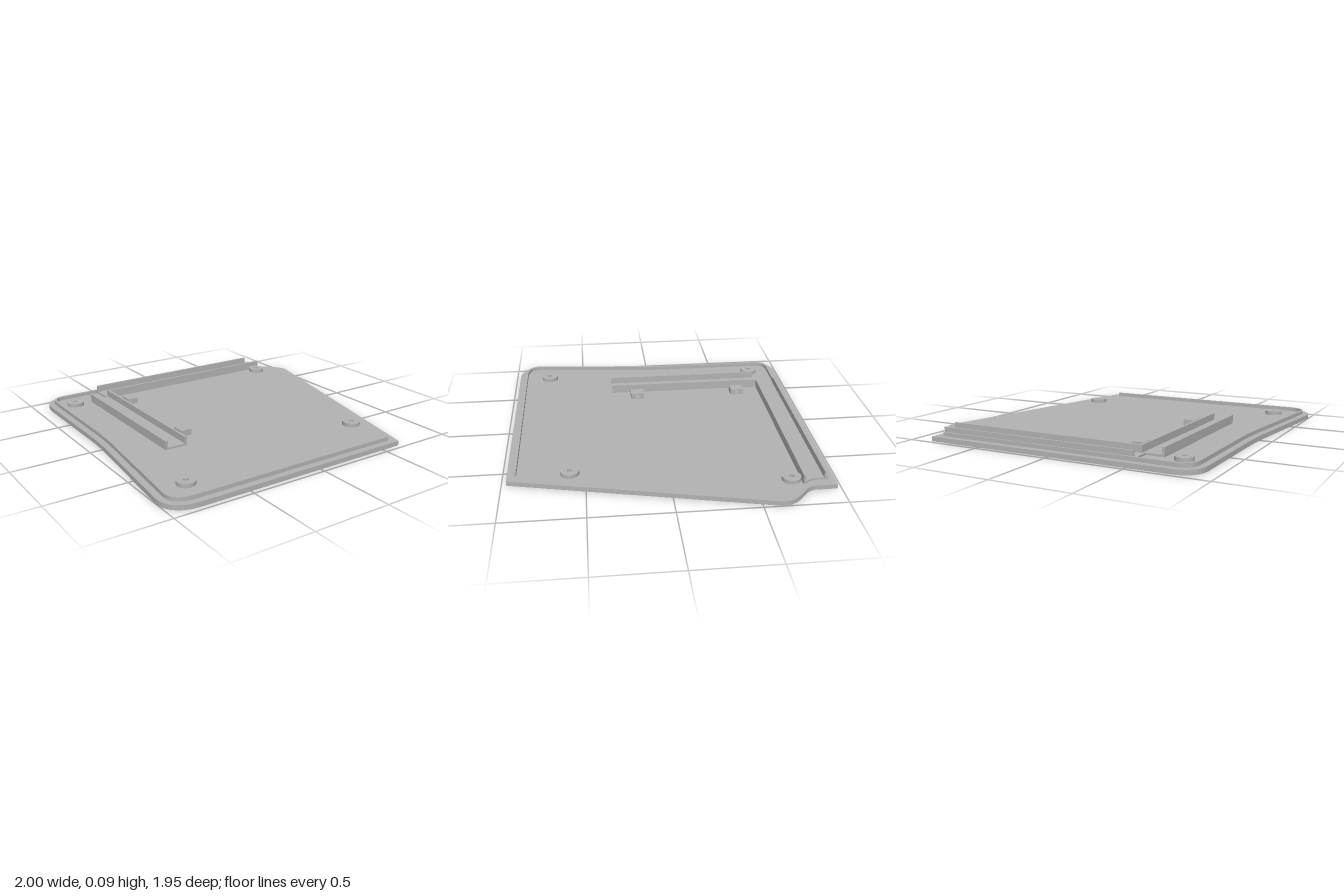
import * as THREE from 'three';

const BASE_H = 0.03, RIM_H = 0.055, FLOOR_H = 0.043, WALL_H = 0.087;

export function createModel() {
  const group = new THREE.Group();
  const grey = new THREE.MeshStandardMaterial({ color: 0xb2b2b2 });
  grey.name = 'plainGrey';

  const add = (name, geometry) => {
    const mesh = new THREE.Mesh(geometry, grey);
    mesh.name = name;
    group.add(mesh);
    return mesh;
  };

  // Extrudes a plan shape, drawn in (x, -z), from height y0 to y1
  const slab = (name, shape, y0, y1) => {
    const g = new THREE.ExtrudeGeometry(shape, { depth: y1 - y0, bevelEnabled: false, curveSegments: 20 });
    g.rotateX(-Math.PI / 2);
    g.translate(0, y0, 0);
    return add(name, g);
  };

  // Box given by its limits
  const block = (name, x0, x1, y0, y1, z0, z1) => {
    const g = new THREE.BoxGeometry(x1 - x0, y1 - y0, z1 - z0);
    g.translate((x0 + x1) / 2, (y0 + y1) / 2, (z0 + z1) / 2);
    return add(name, g);
  };

  const circle = (x, z, r, Type = THREE.Path) => {
    const p = new Type();
    p.absarc(x, -z, r, 0, Math.PI * 2);
    return p;
  };

  // Back, curved side and front edges of the outline, moved inwards by d
  const traceEdge = (path, d, backX, frontX) => {
    path.moveTo(backX, 0.975 - d);
    path.lineTo(-0.76, 0.975 - d);
    path.bezierCurveTo(-0.86 + d * 0.4, 0.975 - d, -0.915 + d, 0.92 - d * 0.4, -0.915 + d, 0.82);
    path.lineTo(-0.915 + d, 0.2);
    path.bezierCurveTo(-0.915 + d, 0.02, -0.926 + d, -0.06, -0.938 + d, -0.18);
    path.lineTo(-0.998 + d, -0.8);
    path.bezierCurveTo(-1.008 + d, -0.9 + d * 0.4, -0.94 + d * 0.4, -0.97 + d, -0.82, -0.97 + d);
    path.lineTo(frontX, -0.97 + d);
    return path;
  };

  const screws = [[-0.754, -0.773], [0.776, -0.714], [0.583, 0.594], [-0.774, 0.746]];

  // Base plate with screw holes
  const base = traceEdge(new THREE.Shape(), 0, 0.855, 0.63);
  base.lineTo(0.998, 0.615);
  base.bezierCurveTo(1.0, 0.68, 0.955, 0.72, 0.91, 0.76);
  base.bezierCurveTo(0.875, 0.79, 0.855, 0.81, 0.855, 0.85);
  base.closePath();
  for (const [x, z] of screws) base.holes.push(circle(x, z, 0.027));
  slab('basePlate', base, 0, BASE_H);

  // Raised lip following three edges
  const outer = traceEdge(new THREE.Path(), 0.042, 0.797, 0.58).getPoints(20);
  const inner = traceEdge(new THREE.Path(), 0.057, 0.797, 0.58).getPoints(20);
  slab('rim', new THREE.Shape([...outer, ...inner.reverse()]), BASE_H, RIM_H);

  // Screw bosses
  for (const [x, z] of screws) {
    const ring = circle(x, z, 0.057, THREE.Shape);
    ring.holes.push(circle(x, z, 0.016));
    slab('screwBoss', ring, BASE_H, RIM_H);
  }

  // Back channel: floor with a slanted end, and two walls
  const backFloor = new THREE.Shape([
    [-0.52, 0.773], [0.835, 0.773], [0.797, 0.84], [0.797, 0.921], [-0.52, 0.921],
  ].map(([x, y]) => new THREE.Vector2(x, y)));
  slab('backChannelFloor', backFloor, BASE_H, FLOOR_H);
  block('backChannelOuterWall', -0.52, 0.797, FLOOR_H, WALL_H, -0.921, -0.907);
  block('backChannelInnerWall', -0.505, 0.833, FLOOR_H, WALL_H, -0.787, -0.773);

  // Side channel
  block('sideChannelFloor', -0.636, -0.487, BASE_H, FLOOR_H, -0.773, 0.287);
  for (const x of [-0.636, -0.503]) {
    block('sideChannelWall', x, x + 0.016, FLOOR_H, WALL_H, -0.773, 0.287);
  }

  // Small tie blocks, each pierced along x
  for (const z of [-0.611, 0.112]) {
    const face = new THREE.Shape();
    face.moveTo(-0.046, 0.03).lineTo(0.046, 0.03).lineTo(0.046, 0.07).lineTo(-0.046, 0.07).closePath();
    const slot = new THREE.Path();
    slot.absellipse(0, 0.049, 0.018, 0.012, 0, Math.PI * 2);
    face.holes.push(slot);
    const g = new THREE.ExtrudeGeometry(face, { depth: 0.075, bevelEnabled: false, curveSegments: 8 });
    g.rotateY(Math.PI / 2);
    g.translate(-0.449, 0, z);
    add('tieBlock', g);
  }

  return group;
}
